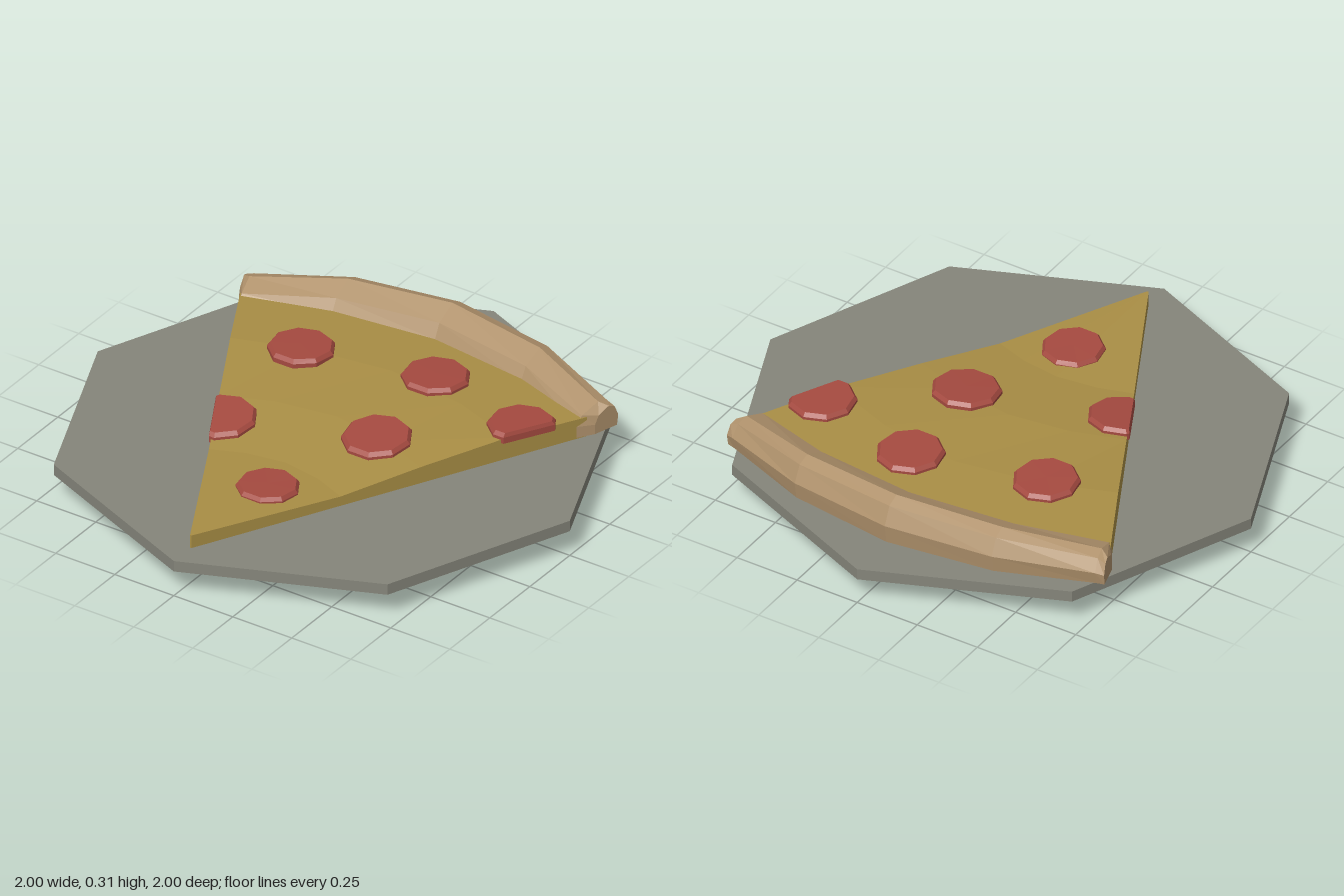
import * as THREE from 'three';

// Skin a series of closed rings (each counter-clockwise about the travel direction) and cap both ends.
function loft(name, color, rings) {
  const pos = [];
  const tri = (a, b, c) => pos.push(...a, ...b, ...c);
  const middle = (ring) => [0, 1, 2].map((k) => ring.reduce((s, p) => s + p[k], 0) / ring.length);
  const n = rings[0].length;
  const first = rings[0], last = rings[rings.length - 1];
  const startMid = middle(first), endMid = middle(last);
  for (let i = 0; i < n; i++) {
    const j = (i + 1) % n;
    for (let r = 0; r + 1 < rings.length; r++) {
      const a = rings[r], b = rings[r + 1];
      tri(a[i], a[j], b[j]);
      tri(a[i], b[j], b[i]);
    }
    tri(startMid, first[j], first[i]);
    tri(endMid, last[i], last[j]);
  }
  const geo = new THREE.BufferGeometry();
  geo.setAttribute('position', new THREE.Float32BufferAttribute(pos, 3));
  geo.computeVertexNormals();
  const mesh = new THREE.Mesh(geo, new THREE.MeshStandardMaterial({ color, flatShading: true }));
  mesh.name = name;
  return mesh;
}

// Piecewise linear lookup in [key, value] pairs with rising keys
function lookup(table, k) {
  let i = 1;
  while (i < table.length - 1 && k > table[i][0]) i++;
  const [k0, v0] = table[i - 1], [k1, v1] = table[i];
  return v0 + (v1 - v0) * THREE.MathUtils.clamp((k - k0) / (k1 - k0), 0, 1);
}

// Wavy height of the cheese along z, and half the slice width at z
const cheeseY = (z) => lookup([[-0.65, 0.215], [-0.46, 0.222], [-0.2, 0.23], [0.1, 0.208], [0.38, 0.18], [0.9, 0.195]], z);
const halfWidth = (z) => 0.72 * (0.9 - z) / 1.36;

// Keep the part of a polygon that lies inside the slice edge on one side
function clip(poly, side) {
  const inside = ([x, z]) => halfWidth(z) + 0.006 - side * x;
  const out = [];
  poly.forEach((p, i) => {
    const q = poly[(i + 1) % poly.length];
    const dp = inside(p), dq = inside(q);
    if (dp >= 0) out.push(p);
    if (dp * dq < 0) {
      const t = dp / (dp - dq);
      out.push([p[0] + (q[0] - p[0]) * t, p[1] + (q[1] - p[1]) * t]);
    }
  });
  return out;
}

function makePepperoni(cx, cz, r) {
  let poly = [];
  for (let i = 0; i < 9; i++) {
    const a = Math.PI / 2 + (i / 9) * Math.PI * 2;
    poly.push([cx + r * Math.cos(a), cz - r * Math.sin(a)]);
  }
  poly = clip(clip(poly, 1), -1);
  const ring = (scale, lift) => poly.map(([x, z]) => {
    const px = cx + (x - cx) * scale, pz = cz + (z - cz) * scale;
    return [px, cheeseY(pz) + lift, pz];
  });
  return loft('pepperoni', 0xa54a40, [ring(1, -0.015), ring(1, 0.01), ring(0.91, 0.024)]);
}

function makePlate() {
  const ring = ([r, y]) => Array.from({ length: 8 }, (_, i) => {
    const a = (i / 8) * Math.PI * 2;
    return [r * Math.cos(a), y, -r * Math.sin(a)];
  });
  return loft('plate', 0x85857a, [[0.48, 0], [0.82, 0.1], [1, 0.1], [1, 0.143]].map(ring));
}

function makeCheese() {
  const columns = [[-1, -0.5], [-0.55, -0.62], [0, -0.68], [0.55, -0.62], [1, -0.5]];
  const rings = [0.004, 0.38, 0.58, 0.8, 1].map((t) => {
    const top = columns.map(([u, backZ]) => {
      const z = 0.9 + (backZ - 0.9) * t;
      return [0.735 * u * t, cheeseY(z), z];
    });
    const bottom = top.map(([x, , z]) => [x, 0.141, z]).reverse();
    return [...top, ...bottom];
  });
  return loft('cheeseSlice', 0xa98e45, rings);
}

function makeCrust() {
  // Section from the outer foot over the top to the inner foot: [z, y]
  const section = [[-0.81, 0.147], [-0.82, 0.22], [-0.79, 0.29], [-0.743, 0.31], [-0.66, 0.27], [-0.632, 0.215], [-0.632, 0.147]];
  // Stations: [x at inner edge, x at outer edge, inner z, depth, height scale]
  const half = [
    [0.4, 0.41, -0.58, 0.185, 0.91],
    [0.715, 0.755, -0.462, 0.17, 0.66],
    [0.755, 0.785, -0.52, 0.1, 0.57],
  ];
  const stations = [
    ...half.map(([a, b, ...rest]) => [-a, -b, ...rest]).reverse(),
    [0, 0, -0.632, 0.188, 1],
    ...half,
  ];
  const rings = stations.map(([xIn, xOut, z0, depth, h]) => section.map(([z, y]) => {
    const t = (-0.632 - z) / 0.188;
    return [xIn + (xOut - xIn) * t, 0.147 + (y - 0.147) * h, z0 - depth * t];
  }));
  return loft('crust', 0xb0926c, rings);
}

export function createModel() {
  const model = new THREE.Group();
  model.name = 'pizzaSliceOnPlate';
  model.add(makePlate(), makeCheese(), makeCrust());

  // Toppings: [x, z, radius]; those at the sides are cut by the slice edge
  const toppings = new THREE.Group();
  toppings.name = 'toppings';
  [
    [-0.34, -0.3, 0.122], [0.155, -0.41, 0.124], [0.2, 0.025, 0.127],
    [0.04, 0.47, 0.115], [-0.335, 0.2, 0.124], [0.585, -0.312, 0.124],
  ].forEach((p) => toppings.add(makePepperoni(...p)));
  model.add(toppings);
  return model;
}
